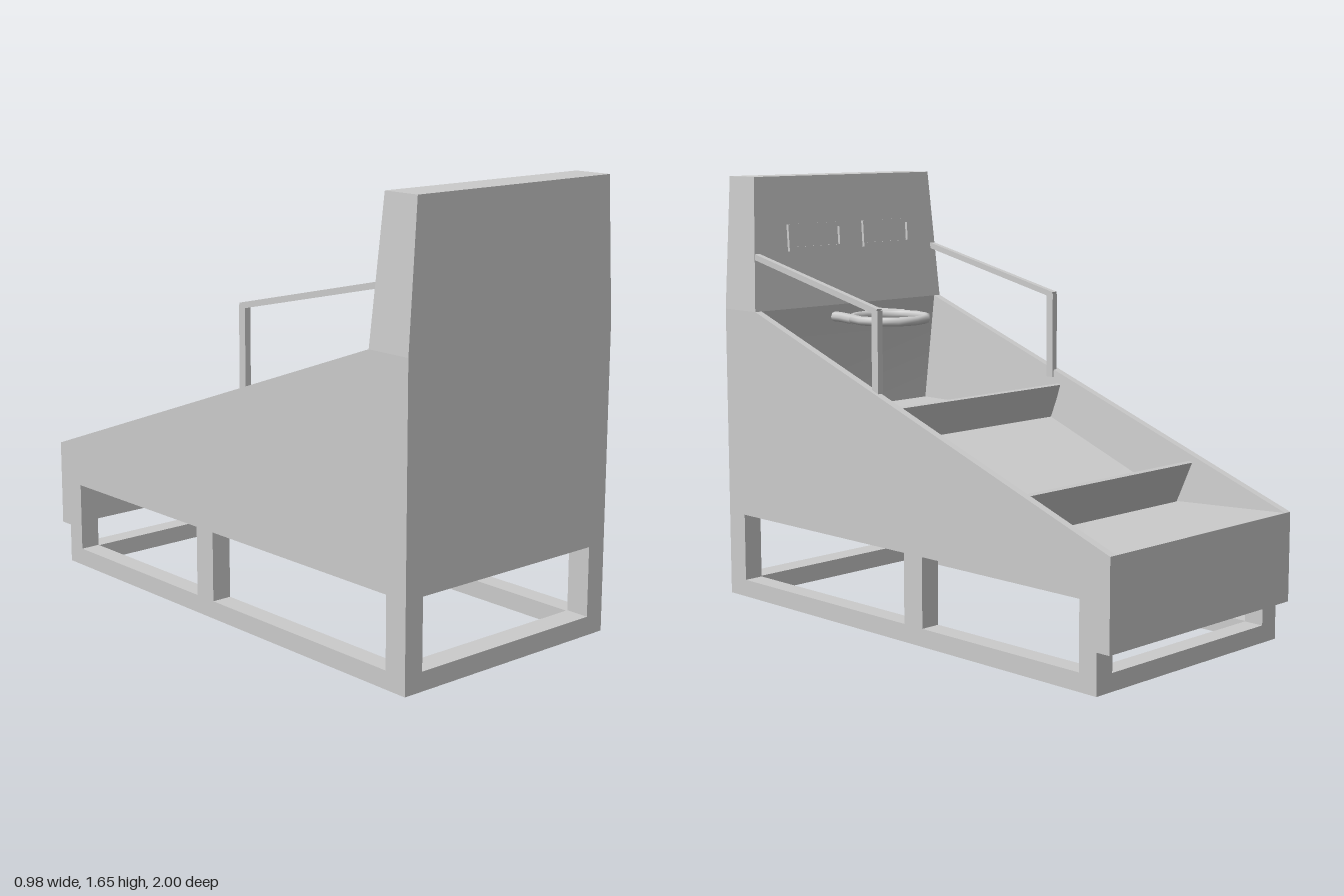
import * as THREE from 'three';
import { toCreasedNormals } from 'three/addons/utils/BufferGeometryUtils.js';

const mat = new THREE.MeshStandardMaterial({ color: 0xcccccc });

export function createModel() {
  const model = new THREE.Group();

  const add = (name, geometry, parent = model) => {
    const mesh = new THREE.Mesh(geometry, mat);
    mesh.name = name;
    parent.add(mesh);
    return mesh;
  };

  // Box given by its limits on each axis
  const box = (name, x0, x1, y0, y1, z0, z1, parent) => {
    const mesh = add(name, new THREE.BoxGeometry(x1 - x0, y1 - y0, z1 - z0), parent);
    mesh.position.set((x0 + x1) / 2, (y0 + y1) / 2, (z0 + z1) / 2);
    return mesh;
  };

  // Profile of [z, y] points extruded across x; xRule(side, y, z) places each end
  const slab = (name, points, xRule) => {
    const shape = new THREE.Shape(points.map(([z, y]) => new THREE.Vector2(z, y)));
    const geo = new THREE.ExtrudeGeometry(shape, { depth: 1, bevelEnabled: false });
    geo.translate(0, 0, -0.5).rotateY(-Math.PI / 2);
    const p = geo.attributes.position;
    for (let i = 0; i < p.count; i++) {
      p.setX(i, xRule(Math.sign(p.getX(i)), p.getY(i), p.getZ(i)));
    }
    return add(name, toCreasedNormals(geo, 0.5));
  };

  // Square bar between two points lying in one x plane
  const bar = (name, x, [z0, y0], [z1, y1], width, thick) => {
    const mesh = add(name, new THREE.BoxGeometry(width, thick, Math.hypot(z1 - z0, y1 - y0)));
    mesh.position.set(x, (y0 + y1) / 2, (z0 + z1) / 2);
    mesh.rotation.x = -Math.atan2(y1 - y0, z1 - z0);
    return mesh;
  };

  const W = 0.488;
  const sideTop = z => 0.48 + 0.362 * (z + 1);

  // Open base frame
  const base = new THREE.Group();
  base.name = 'baseFrame';
  model.add(base);
  box('frontBeam', -W, W, 0, 0.07, 0.907, 1, base);
  box('backBeam', -W, W, 0, 0.065, -0.945, -0.867, base);
  for (const s of [-1, 1]) {
    const a = Math.min(s * 0.41, s * W), b = Math.max(s * 0.41, s * W);
    box('sideBeam', a, b, 0, 0.067, -0.867, 0.907, base);
    for (const [z0, z1] of [[0.907, 1], [-0.112, -0.017], [-0.945, -0.867]]) {
      box('post', a, b, 0.065, 0.33, z0, z1, base);
    }
  }
  box('endApron', -W, W, 0.15, 0.33, -1, -0.945, base);

  // Body with the stepped ramp floor
  slab('rampBody',
    [[-1, 0.33], [0.88, 0.33], [0.88, 0.71], [0.14, 0.705], [-0.51, 0.455], [-1, 0.48]],
    s => s * 0.47);

  // Side walls, leaning inwards towards the floor
  for (const side of [-1, 1]) {
    slab('sideWall',
      [[-1, 0.33], [0.84, 0.33], [0.84, 0.71], [0.815, 1.137], [-1, 0.48]],
      (s, y, z) => side * (s === side ? W : 0.457 - 0.07 * (sideTop(z) - y)));
  }

  // Tall backboard, narrowing above the side walls
  slab('backboardLower',
    [[1, 0.33], [1, 1.137], [0.815, 1.137], [0.84, 0.71], [0.84, 0.33]],
    s => s * W);
  slab('backboardUpper',
    [[1, 1.137], [1, 1.65], [0.85, 1.65], [0.815, 1.137]],
    (s, y) => s * (W - 0.033 * (y - 1.137) / 0.513));

  // Cross boards leaning over the ramp
  bar('lowerCrossBoard', 0, [-0.51, 0.45], [-0.585, 0.615], 0.87, 0.014);
  bar('upperCrossBoard', 0, [0.14, 0.7], [0.095, 0.835], 0.9, 0.014);

  // Hand rails
  for (const s of [-1, 1]) {
    const x = s * 0.461;
    bar('handRail', x, [0.835, 1.347], [0.135, 1.186], 0.024, 0.022);
    box('railPost', x - 0.012, x + 0.012, 0.86, 1.19, 0.13, 0.163);
  }

  // Two display frames on the backboard
  for (const [x, w] of [[0.172, 0.138], [-0.203, 0.128]]) {
    const frame = new THREE.Shape();
    frame.moveTo(-w, -0.053).lineTo(w, -0.053).lineTo(w, 0.053).lineTo(-w, 0.053);
    const hole = new THREE.Path();
    const v = w - 0.018;
    hole.moveTo(-v, -0.036).lineTo(-v, 0.036).lineTo(v, 0.036).lineTo(v, -0.036);
    frame.holes.push(hole);
    const mesh = add('displayFrame',
      new THREE.ExtrudeGeometry(frame, { depth: 0.02, bevelEnabled: false }));
    mesh.position.set(x, 1.412, 0.822);
    mesh.rotation.x = 0.068;
  }

  // Hoop with two arms reaching the backboard
  const hoop = new THREE.Group();
  hoop.name = 'hoop';
  hoop.position.set(-0.025, 1.09, 0.615);
  model.add(hoop);
  const ring = add('hoopRing', new THREE.TorusGeometry(0.148, 0.018, 8, 12), hoop);
  ring.rotation.x = Math.PI / 2;
  for (const s of [-1, 1]) {
    const arm = new THREE.CatmullRomCurve3([[0.138, 0.06], [0.125, 0.11], [0.112, 0.16], [0.112, 0.212]]
      .map(([x, z]) => new THREE.Vector3(s * x, 0, z)));
    add('hoopArm', new THREE.TubeGeometry(arm, 6, 0.02, 8), hoop);
  }

  return model;
}
